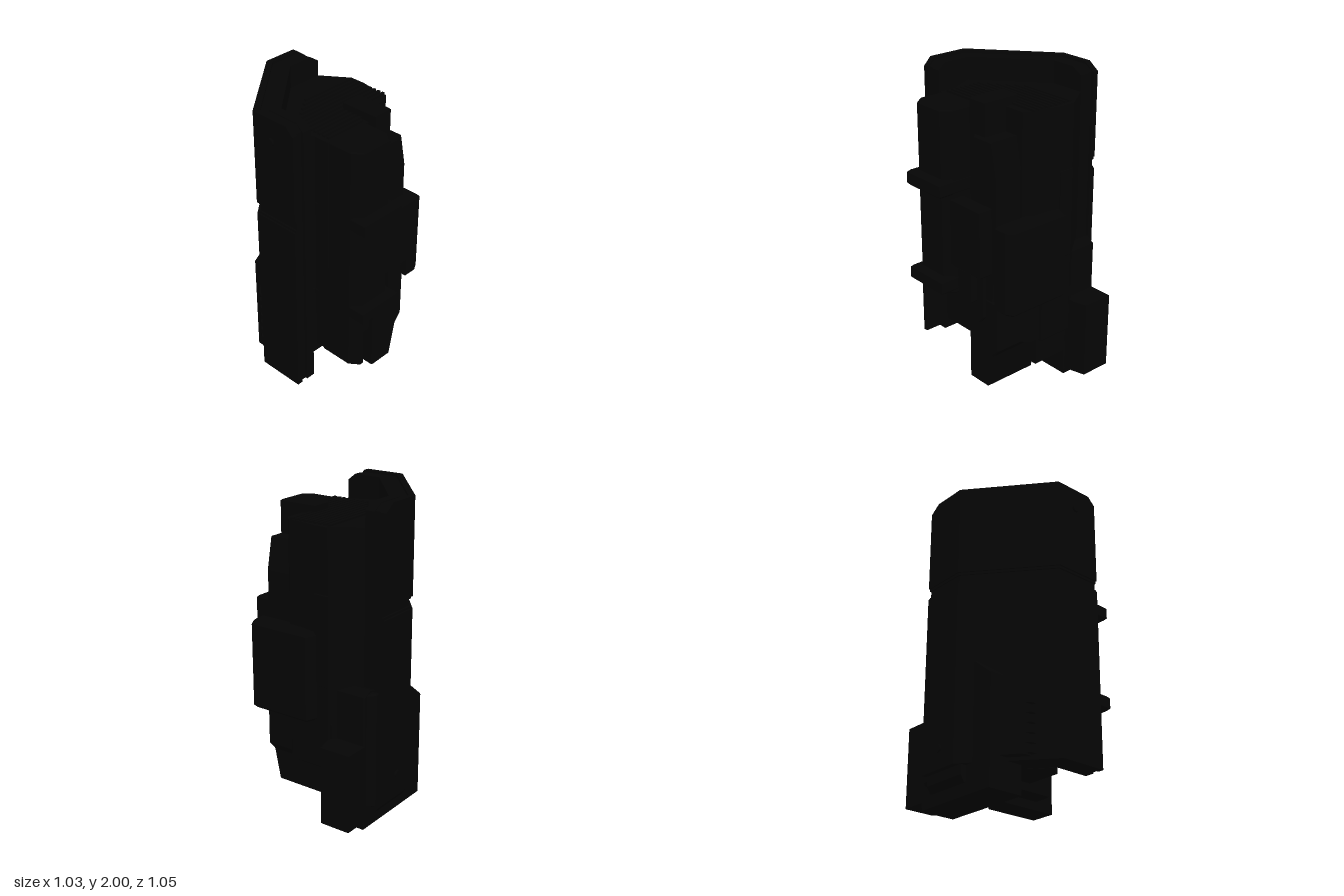
import * as THREE from 'three';

const black = new THREE.MeshStandardMaterial({ color: 0x050505 });
black.name = 'matte black';

export function createModel() {
  const model = new THREE.Group();
  model.name = 'armouredPack';

  const add = (name, geometry) => {
    const mesh = new THREE.Mesh(geometry, black);
    mesh.name = name;
    model.add(mesh);
    return mesh;
  };
  // Extrudes an outline by a depth, with its corners bevelled inside that size
  const extrude = (points, depth, bevel) => {
    const shape = new THREE.Shape(points.map(([a, b]) => new THREE.Vector2(a, b)));
    const g = new THREE.ExtrudeGeometry(shape, {
      depth: depth - 2 * bevel, bevelEnabled: bevel > 0, bevelSegments: 1,
      bevelSize: bevel, bevelOffset: -bevel, bevelThickness: bevel,
    });
    return g.translate(0, 0, bevel);
  };
  // Upright prism from a plan outline of [x, z]
  const plan = (name, points, y0, y1, bevel = 0) =>
    add(name, extrude(points.map(([x, z]) => [x, -z]), y1 - y0, bevel)
      .rotateX(-Math.PI / 2).translate(0, y0, 0));
  // Prism from a front outline of [x, y]
  const front = (name, points, z0, z1, bevel = 0) =>
    add(name, extrude(points, z1 - z0, bevel).translate(0, 0, z0));
  // Prism from a side outline of [z, y]
  const side = (name, points, x0, x1, bevel = 0) =>
    add(name, extrude(points.map(([z, y]) => [-z, y]), x1 - x0, bevel)
      .rotateY(Math.PI / 2).translate(x0, 0, 0));
  const box = (name, x0, x1, y0, y1, z0, z1, bevel = 0) =>
    plan(name, [[x0, z1], [x1, z1], [x1, z0], [x0, z0]], y0, y1, bevel);

  // Bent armour shell: layers between an outer and an inner path
  const outer = [[-0.5, 0.2], [-0.5, -0.11], [-0.02, -0.51], [0.27, -0.51]];
  const inner = [[-0.36, 0.2], [-0.36, -0.03], [0.04, -0.37], [0.27, -0.37]];
  const shell = (name, t0, t1, y0, y1, inset = 0) => {
    const path = (t) => outer.map(([x, z], i) => [
      Math.min(x + (inner[i][0] - x) * t, 0.27 - inset),
      Math.min(z + (inner[i][1] - z) * t, 0.2 - inset)]);
    return plan(name, [...path(t0), ...path(t1).reverse()], y0, y1);
  };
  const bevelEdge = (mesh, yTop) => { // cuts the upper end corners back
    const p = mesh.geometry.attributes.position;
    for (let i = 0; i < p.count; i++) {
      if (p.getY(i) < yTop - 0.001) continue;
      p.setX(i, Math.min(p.getX(i), 0.2));
      p.setZ(i, Math.min(p.getZ(i), 0.15));
    }
    mesh.geometry.computeVertexNormals();
  };
  const layers = [['outer', 0, 0.26, 0, 2], ['middle', 0.26, 0.57, 0.015, 1.985], ['inner', 0.57, 1, 0, 1.99]];
  for (const [label, t0, t1, inset, top] of layers) {
    shell(label + 'ShellLower', t0, t1, 0.18, 1.33, inset);
    const groove = label === 'outer' ? [0.07, 0.14] : [t0, t0];
    shell(label + 'ShellGrooveEdge', groove[0], t1, 1.33, 1.345, inset);
    shell(label + 'ShellGroove', groove[1], t1, 1.345, 1.39, inset);
    shell(label + 'ShellGrooveEdge', groove[0], t1, 1.39, 1.405, inset);
    shell(label + 'ShellUpper', t0, t1, 1.405, 1.95, inset);
    bevelEdge(shell(label + 'ShellRim', t0, t1, 1.95, top, inset), top);
  }

  // Two small knobs on the shell
  const knob = () => new THREE.CylinderGeometry(0.025, 0.025, 0.03, 16);
  add('backKnob', knob().rotateX(Math.PI / 2).translate(0.115, 0.305, -0.507));
  add('sideKnob', knob().rotateZ(Math.PI / 2).translate(-0.498, 1.86, 0.03));

  // Main body inside the shell
  plan('body', [[-0.28, 0.25], [-0.28, 0.15], [-0.36, -0.03], [0.04, -0.37], [0.27, -0.37],
    [0.39, -0.2], [0.39, -0.1], [0.37, 0.0], [0.365, 0.1], [0.32, 0.14], [0.13, 0.14], [0.055, 0.22], [0.055, 0.25]],
  0.36, 1.85);
  plan('bodyBase', [[-0.28, 0.05], [-0.34, -0.04], [0.04, -0.37], [0.27, -0.37], [0.36, -0.2], [0.36, 0.05]], 0.18, 0.36);
  // Slatted top grille
  for (let i = 0; i < 13; i++) {
    const z = -0.19 + i * 0.034;
    const x0 = z < -0.02 ? -0.25 - (z + 0.02) * 1.35 : -0.25;
    const x1 = z > 0.11 ? 0.13 - (z - 0.11) * 0.95 : 0.365;
    box('grilleSlat', x0, x1, 1.845, 1.862, z - 0.009, z + 0.009);
  }
  // Ribs on the right flank
  box('flankPlate', 0.37, 0.394, 0.88, 1.45, -0.2, -0.1, 0.004);

  // Front column with cut corners, standing on a narrow foot beside a recessed block
  plan('frontColumn', [[-0.27, 0.2], [-0.27, 0.41], [-0.22, 0.47], [-0.015, 0.47], [0.035, 0.41], [0.035, 0.2]],
    0.68, 1.85, 0.008);
  plan('columnFoot', [[-0.27, 0.2], [-0.27, 0.41], [-0.225, 0.47], [-0.2, 0.47], [-0.2, 0.2]], 0.335, 0.7, 0.004);
  front('recessedBlock', [[-0.21, 0.36], [0.05, 0.36], [0.05, 0.7], [-0.21, 0.7]], 0.15, 0.3, 0.01);
  // Straps clamped round the column
  for (const y of [0.7, 1.33]) {
    box('strap', -0.27, 0.04, y, y + 0.1, 0.2, 0.525, 0.016);
    plan('strapTail', [[-0.285, 0.17], [-0.287, 0.15], [-0.366, -0.03], [-0.3, -0.03], [-0.25, 0.17]],
      y + 0.01, y + 0.09);
  }

  // Stacked front modules
  box('tallModule', 0.05, 0.18, 0.9, 1.91, 0.05, 0.3, 0.01);
  front('angledModule', [[0.1, 0.65], [0.27, 0.65], [0.31, 1.05], [0.31, 1.5], [0.27, 1.7], [0.1, 1.7]], 0.05, 0.32, 0.012);
  box('frontPanel', 0.0, 0.28, 0.87, 1.31, 0.335, 0.43, 0.012);
  front('panelSkirt', [[0.03, 0.53], [0.2, 0.53], [0.24, 0.58], [0.24, 0.9], [0, 0.9], [0, 0.56]], 0.34, 0.37, 0.006);
  box('panelMount', 0.0, 0.14, 0.53, 1.25, 0.25, 0.36, 0.008);
  box('panelLatch', 0.07, 0.185, 0.67, 0.88, 0.35, 0.42, 0.012);

  // Side case
  plan('sideCase', [[0.32, 0.35], [0.41, 0.35], [0.46, 0.32], [0.46, -0.085], [0.38, -0.12], [0.32, -0.12]],
    0.65, 1.215, 0.02);

  // Lower front housing
  front('lowerHousing', [[0.055, 0.065], [0.22, 0.065], [0.27, 0.3], [0.32, 0.36], [0.32, 0.68], [0.055, 0.68]],
    -0.05, 0.327, 0.008);
  box('lowerInnerBlock', -0.045, 0.07, 0.12, 0.68, -0.05, 0.2, 0.01);
  box('lowerSideModule', 0.25, 0.385, 0.34, 0.66, -0.22, 0.03, 0.012);

  // Rear support block that breaks through the shell
  front('rearSupport', [[-0.257, 0], [0.355, 0], [0.36, 0.04], [0.36, 0.87], [0.3, 0.9], [-0.12, 0.8], [-0.257, 0.69]],
    -0.437, -0.2, 0.005);
  side('rearFoot', [[-0.25, 0.08], [-0.45, 0.08], [-0.475, 0.12], [-0.475, 0.2], [-0.25, 0.2]], -0.05, 0.26);
  plan('rearBrace', [[0.26, -0.2], [0.34, -0.2], [0.34, -0.43], [0.29, -0.475], [0.26, -0.475]], 0.14, 0.88, 0.01);

  // Fin on the right side
  plan('sideFin', [[0.33, -0.21], [0.42, -0.21], [0.513, -0.235], [0.513, -0.437], [0.33, -0.437]], 0.05, 0.56, 0.004);

  // Vent box on the slanted back
  plan('ventBox', [[-0.36, -0.2], [-0.365, -0.27], [-0.355, -0.3], [-0.25, -0.38], [-0.2, -0.25]], 0.2, 0.56);
  for (let i = 0; i < 6; i++) {
    const y = 0.21 + i * 0.06;
    plan('ventSlat', [[-0.39, -0.21], [-0.39, -0.25], [-0.355, -0.285], [-0.3, -0.25]], y, y + 0.035);
  }
  return model;
}
